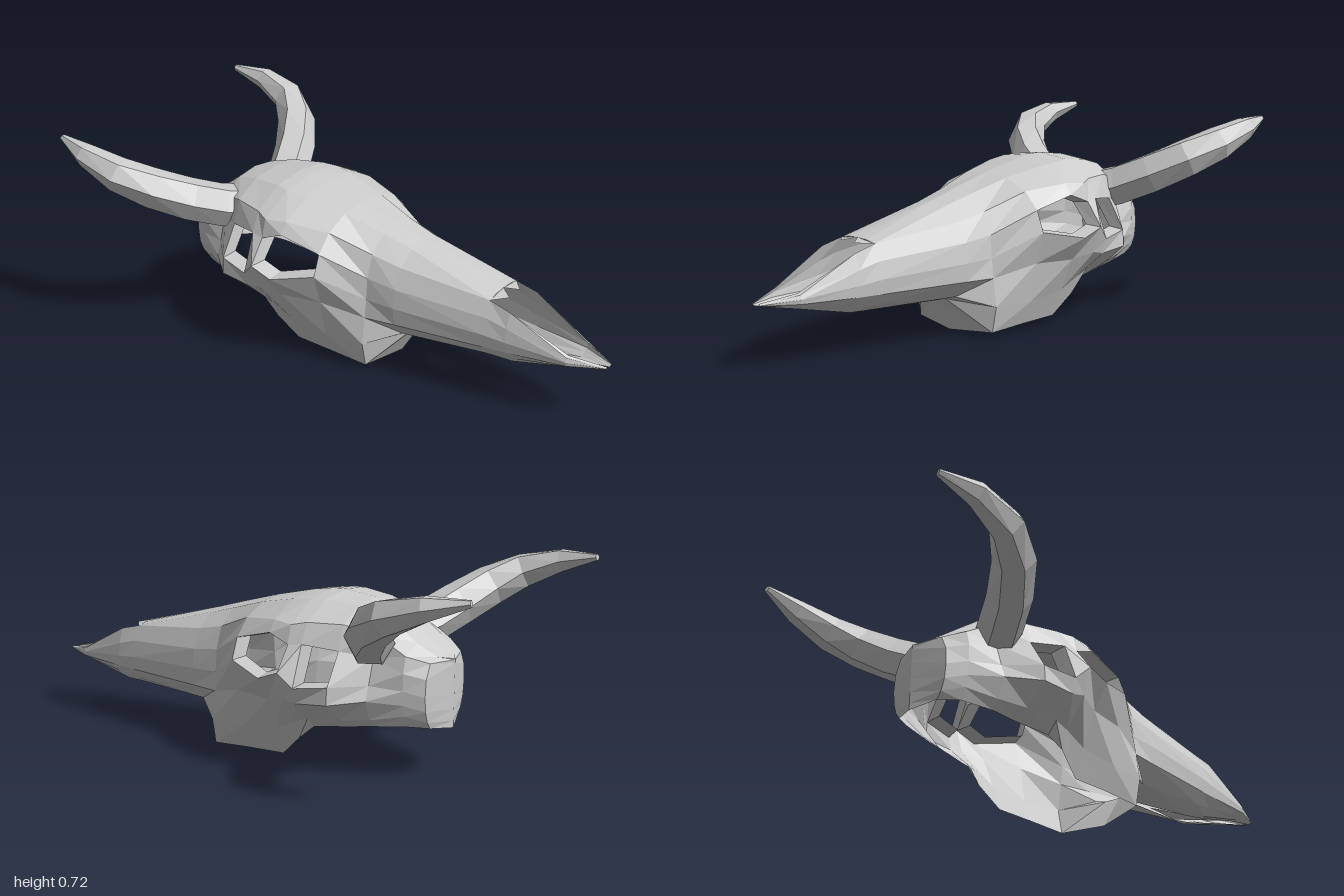
import * as THREE from 'three';

const bone = new THREE.MeshStandardMaterial({ color: 0xcccccc, flatShading: true, side: THREE.DoubleSide });

// Mesh from a list of quads (four Vector3 each), with the other half mirrored across z = 0.
function quadMesh(name, quads) {
  const pos = [];
  const put = (v, s) => pos.push(v.x, v.y, v.z * s);
  for (const [a, b, c, d] of quads) {
    for (const v of [a, b, c, a, c, d]) put(v, 1);
    for (const v of [a, c, b, a, d, c]) put(v, -1);
  }
  const g = new THREE.BufferGeometry();
  g.setAttribute('position', new THREE.Float32BufferAttribute(pos, 3));
  g.computeVertexNormals();
  const m = new THREE.Mesh(g, bone);
  m.name = name;
  return m;
}

// Side of a cross-section at x: y,z pairs running downward.
const sidePoints = (x, ...yz) =>
  Array.from({ length: yz.length / 2 }, (_, i) => new THREE.Vector3(x, yz[2 * i], yz[2 * i + 1]));

// Half cross-section: the roof curves from the crown height to the first side point.
function section(x, crown, ...yz) {
  const side = sidePoints(x, ...yz);
  const brow = side[0];
  const roof = new THREE.Vector3(x, crown + (brow.y - crown) * 0.2, brow.z * 0.53);
  return [new THREE.Vector3(x, crown, 0), roof, ...side];
}

// Quads between neighbouring sections; skip(s, c) leaves a hole.
function loft(sections, skip = () => false) {
  const quads = [];
  for (let s = 0; s + 1 < sections.length; s++) {
    const p = sections[s], q = sections[s + 1];
    for (let c = 0; c + 1 < p.length; c++) {
      if (!skip(s, c)) quads.push([p[c], p[c + 1], q[c + 1], q[c]]);
    }
  }
  return quads;
}

// Bone thickness: turns the edge of a hole inward.
function holeRim(loop) {
  const centre = loop.reduce((a, v) => a.add(v), new THREE.Vector3()).divideScalar(loop.length);
  const inner = loop.map((v) => {
    const w = v.clone().lerp(centre, 0.13);
    w.z = v.z - 0.06;
    return w;
  });
  return loop.map((v, i) => {
    const j = (i + 1) % loop.length;
    return [v, loop[j], inner[j], inner[i]];
  });
}

// Tapered horn: rings of given radius around path points [x, y, z, radius].
function hornQuads(path, sides) {
  const pts = path.map((p) => new THREE.Vector3(p[0], p[1], p[2]));
  const rings = pts.map((p, i) => {
    const t = pts[Math.min(i + 1, pts.length - 1)].clone().sub(pts[Math.max(i - 1, 0)]).normalize();
    const u = new THREE.Vector3().crossVectors(t, new THREE.Vector3(0, 1, 0)).normalize();
    const v = new THREE.Vector3().crossVectors(u, t);
    return Array.from({ length: sides + 1 }, (_, k) => {
      const a = -(k / sides) * Math.PI * 2;
      return p.clone()
        .addScaledVector(u, Math.cos(a) * path[i][3])
        .addScaledVector(v, Math.sin(a) * path[i][3]);
    });
  });
  const tip = rings[rings.length - 1];
  rings.push(tip.map(() => pts[pts.length - 1].clone()));
  return loft(rings);
}

export function createModel() {
  const group = new THREE.Group();

  // Cranium and cheeks, from the back of the head to the front of the cheeks
  const head = [
    section(-0.675, 0.425, 0.41, 0.11, 0.36, 0.135, 0.3, 0.14, 0.25, 0.135, 0.21, 0.12, 0.185, 0.1),
    section(-0.61, 0.475, 0.435, 0.16, 0.38, 0.175, 0.32, 0.175, 0.27, 0.17, 0.23, 0.16, 0.19, 0.14),
    section(-0.5, 0.56, 0.5, 0.17, 0.42, 0.18, 0.33, 0.21, 0.28, 0.23, 0.21, 0.2, 0.18, 0.17),
    section(-0.4, 0.585, 0.525, 0.21, 0.44, 0.24, 0.33, 0.31, 0.27, 0.315, 0.2, 0.23, 0.165, 0.18),
    section(-0.28, 0.6, 0.525, 0.245, 0.455, 0.28, 0.315, 0.335, 0.26, 0.32, 0.19, 0.24, 0.15, 0.2),
    section(-0.23, 0.598, 0.515, 0.268, 0.45, 0.288, 0.365, 0.353, 0.27, 0.32, 0.17, 0.24, 0.105, 0.215),
    section(-0.15, 0.585, 0.52, 0.25, 0.48, 0.28, 0.335, 0.35, 0.25, 0.29, 0.13, 0.235, 0.03, 0.195),
    section(0, 0.55, 0.5, 0.2, 0.44, 0.26, 0.365, 0.29, 0.25, 0.255, 0.11, 0.23, 0.025, 0.195),
    section(0.15, 0.508, 0.44, 0.15, 0.36, 0.18, 0.28, 0.187, 0.21, 0.195, 0.11, 0.21, 0.015, 0.19),
  ];
  const isHole = (s, c) => c === 3 && (s === 3 || s === 5 || s === 6);
  group.add(quadMesh('cranium', loft(head, isHole)));

  // Closed wall at the back of the head
  const backMid = head[0].map((v) => new THREE.Vector3(-0.71, v.y - 0.015, 0));
  group.add(quadMesh('occiput', loft([backMid, head[0]])));

  // Eye sockets and the openings behind them
  group.add(quadMesh('eyeSocketRims',
    holeRim([head[5][3], head[6][3], head[7][3], head[7][4], head[6][4], head[5][4]])));
  group.add(quadMesh('templeRims',
    holeRim([head[3][3], head[4][3], head[4][4], head[3][4]])));

  // Snout, starting with the wall that drops to the cheek teeth
  const snoutBase = section(0.26, 0.475, 0.415, 0.135, 0.345, 0.17, 0.275, 0.18, 0.21, 0.175, 0.15, 0.12, 0.135, 0.07, 0.13, 0);
  const snoutEnd = section(0.59, 0.385, 0.375, 0.088, 0.32, 0.115, 0.26, 0.128, 0.21, 0.122, 0.17, 0.09, 0.145, 0.05, 0.14, 0.03);
  const cheekFront = [...head[8], new THREE.Vector3(0.18, 0, 0)];
  group.add(quadMesh('snout', loft([cheekFront, snoutBase, snoutEnd])));

  // Forked front of the upper jaw, open above and slit along the middle
  const fork = [
    snoutEnd.slice(2),
    sidePoints(0.67, 0.355, 0.09, 0.3, 0.108, 0.25, 0.115, 0.21, 0.11, 0.175, 0.08, 0.15, 0.055, 0.15, 0.03),
    sidePoints(0.88, 0.25, 0.06, 0.245, 0.072, 0.23, 0.078, 0.215, 0.075, 0.205, 0.06, 0.195, 0.04, 0.195, 0.018),
    snoutEnd.slice(2).map((v) => new THREE.Vector3(1, 0.21 + v.y * 0.04, v.z * 0.16)),
  ];
  group.add(quadMesh('upperJawFork', loft(fork)));

  // Pointed floor of the nose, lying between the fork's arms
  const floorBack = new THREE.Vector3(0.42, 0.135, 0);
  const floorRidge = new THREE.Vector3(0.6, 0.16, 0);
  const floorTip = new THREE.Vector3(0.87, 0.2, 0);
  group.add(quadMesh('noseFloor', [[floorBack, snoutEnd[8], floorTip, floorRidge]]));

  // Nasal bone points over the nose opening
  const [nasalMid, nasalSide, nasalEdge] = snoutEnd;
  const nasalTip = new THREE.Vector3(0.635, 0.376, 0.035);
  group.add(quadMesh('nasalTips', [[nasalMid, nasalSide, nasalEdge, nasalTip]]));

  // Horns
  const hornPath = [
    [-0.455, 0.45, 0.11, 0.08], [-0.5, 0.475, 0.2, 0.08], [-0.555, 0.525, 0.31, 0.079],
    [-0.63, 0.585, 0.415, 0.074], [-0.725, 0.638, 0.485, 0.064], [-0.865, 0.685, 0.503, 0.043],
    [-1, 0.712, 0.48, 0.012],
  ];
  group.add(quadMesh('horns', hornQuads(hornPath, 6)));

  return group;
}
